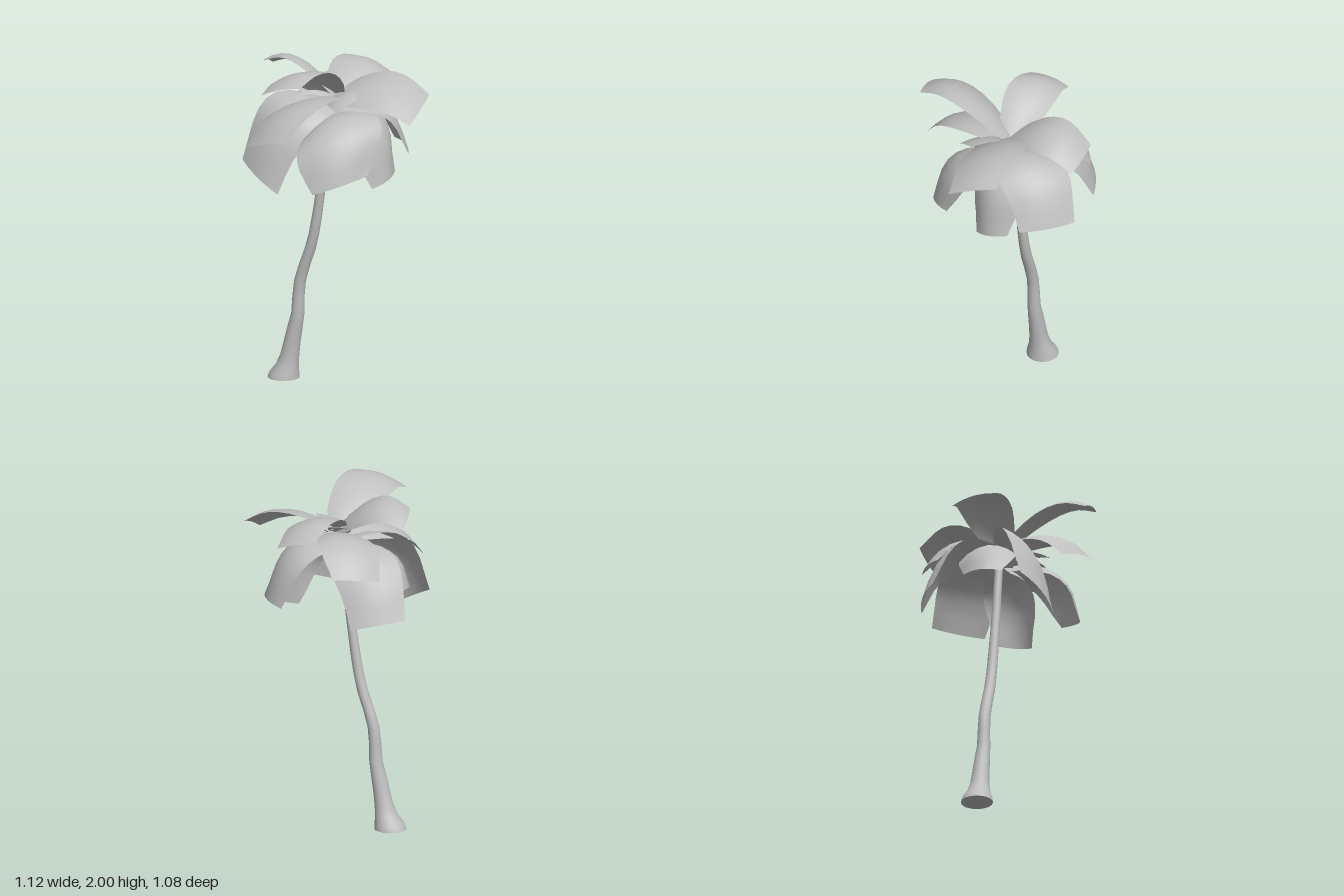
import * as THREE from 'three';
import { mergeVertices } from 'three/addons/utils/BufferGeometryUtils.js';

const grey = new THREE.MeshStandardMaterial({ color: 0xbfbfbf, side: THREE.DoubleSide });
grey.name = 'plain grey';

const CROWN = { x: 0, z: -0.04 };

// Bent trunk: rings of [height, centre x, radius], flared at the foot
function makeTrunk() {
  const rings = [
    [0, -0.355, 0.094], [0.03, -0.35, 0.088], [0.08, -0.33, 0.068], [0.14, -0.313, 0.056],
    [0.22, -0.297, 0.05], [0.32, -0.276, 0.045], [0.4, -0.258, 0.039], [0.5, -0.254, 0.036],
    [0.6, -0.243, 0.035], [0.7, -0.212, 0.034], [0.8, -0.174, 0.033], [0.9, -0.147, 0.031],
    [1.0, -0.128, 0.03], [1.2, -0.096, 0.027], [1.4, -0.067, 0.025], [1.6, -0.042, 0.024],
    [1.72, -0.025, 0.02], [1.75, -0.02, 0],
  ];
  let geo = new THREE.LatheGeometry(rings.map(([y, , r]) => new THREE.Vector2(r, y)), 16);
  const pos = geo.attributes.position;
  for (let i = 0; i < pos.count; i++) {
    pos.setX(i, pos.getX(i) + rings[i % rings.length][1]);
    pos.setZ(i, pos.getZ(i) - 0.045);
  }
  geo.deleteAttribute('uv');
  geo.deleteAttribute('normal');
  geo = mergeVertices(geo, 1e-5);
  geo.computeVertexNormals();
  const trunk = new THREE.Mesh(geo, grey);
  trunk.name = 'trunk';

  const base = new THREE.Mesh(new THREE.CircleGeometry(0.094, 16), grey);
  base.rotation.x = Math.PI / 2;
  base.position.set(-0.355, 0, -0.045);
  base.name = 'trunkBase';
  return [trunk, base];
}

// Broad arched frond from the crown to a tip edge a-b.
// reach and peak place the bend; cup bows the cross-section;
// widths scale the tip edge along the frond.
function makeFrond({ name, a, b, root, peak, reach, cup, widths }) {
  const A = new THREE.Vector3(...a), B = new THREE.Vector3(...b);
  const tip = A.clone().add(B).multiplyScalar(0.5);
  const start = new THREE.Vector3(CROWN.x, root, CROWN.z);
  const bend = start.clone().lerp(tip, reach).setY(peak);
  const curve = new THREE.QuadraticBezierCurve3(start, bend, tip);
  const half = B.clone().sub(A).multiplyScalar(0.5);
  const rows = widths.length - 1, cols = 6, verts = [], index = [];
  for (let i = 0; i <= rows; i++) {
    const t = i / rows;
    const p = curve.getPoint(t), tangent = curve.getTangent(t);
    const side = half.clone().multiplyScalar(widths[i]);
    const normal = new THREE.Vector3().crossVectors(tangent, half).normalize();
    for (let j = 0; j <= cols; j++) {
      const s = (j / cols) * 2 - 1;
      const v = p.clone().addScaledVector(side, s)
        .addScaledVector(normal, cup * widths[i] * (t < 1 ? 0.6 - s * s : 0.7 - 0.7 * s * s));
      verts.push(v.x, v.y, v.z);
      if (i < rows && j < cols) {
        const k = i * (cols + 1) + j, n = k + cols + 1;
        index.push(k, n, k + 1, n, n + 1, k + 1);
      }
    }
  }
  const geo = new THREE.BufferGeometry();
  geo.setAttribute('position', new THREE.Float32BufferAttribute(verts, 3));
  geo.setIndex(index);
  geo.computeVertexNormals();
  const mesh = new THREE.Mesh(geo, grey);
  mesh.name = name;
  return mesh;
}

// Shared shape of each tier of fronds
const broad = [0.5, 0.88, 1.08, 1.2, 1.23, 1.2, 1.13, 1.06, 1];
const domed = [0.5, 0.9, 1.2, 1.4, 1.52, 1.54, 1.45, 1.25, 1];
const tiers = {
  upper: { root: 1.76, reach: 0.62, cup: 0.025, widths: broad },
  middle: { root: 1.74, reach: 0.75, cup: 0.03, widths: broad },
  lower: { root: 1.63, reach: 0.85, cup: 0.05, widths: domed },
  outer: { root: 1.68, reach: 0.78, cup: 0.04, widths: broad },
  bud: { root: 1.74, reach: 0.5, cup: 0.01, widths: broad },
};

// [tier, name, bend height, tip corner a, tip corner b]
const fronds = [
  // upper tier, raised then arching over
  ['upper', 'frontUpperFrond', 2.08, [-0.14, 1.88, 0.545], [0.105, 1.95, 0.51]],
  ['upper', 'leftUpperFrond', 1.92, [0.565, 1.68, 0.045], [0.515, 1.79, -0.25]],
  ['upper', 'backUpperFrond', 2.0, [0.13, 1.76, -0.525], [-0.11, 1.82, -0.515]],
  ['upper', 'rightUpperFrond', 2.04, [-0.49, 1.86, -0.14], [-0.42, 1.93, 0.07]],
  // middle tier
  ['middle', 'frontMiddleFrond', 1.82, [-0.29, 1.52, 0.47], [0.02, 1.61, 0.52]],
  ['middle', 'backRightMiddleFrond', 1.82, [-0.2, 1.6, -0.46], [-0.41, 1.57, -0.27]],
  // lower tier, drooping
  ['outer', 'frontRightLowerFrond', 1.8, [-0.44, 1.38, 0.27], [-0.15, 1.23, 0.35]],
  ['lower', 'frontLeftLowerFrond', 1.72, [0.12, 1.28, 0.4], [0.36, 1.38, 0.18]],
  ['lower', 'leftLowerFrond', 1.72, [0.29, 1.25, 0.02], [0.31, 1.31, -0.2]],
  ['outer', 'backLeftLowerFrond', 1.8, [0.34, 1.39, -0.3], [0.1, 1.4, -0.53]],
  ['outer', 'backRightLowerFrond', 1.78, [-0.3, 1.3, -0.42], [-0.56, 1.35, -0.235]],
  ['lower', 'rightLowerFrond', 1.72, [-0.4, 1.45, -0.11], [-0.39, 1.44, 0.12]],
  // short young leaves round the heart
  ['bud', 'youngLeafBack', 1.82, [-0.09, 1.85, -0.26], [-0.18, 1.83, -0.2]],
  ['bud', 'youngLeafFront', 1.82, [0.16, 1.73, 0.21], [0.23, 1.79, 0.09]],
  ['bud', 'youngLeafRight', 1.82, [-0.18, 1.8, 0.06], [-0.13, 1.78, 0.12]],
  ['bud', 'youngLeafLeft', 1.84, [0.17, 1.82, -0.12], [0.14, 1.82, -0.22]],
];

export function createModel() {
  const model = new THREE.Group();
  model.name = 'palmTree';
  model.add(...makeTrunk());
  const crown = new THREE.Group();
  crown.name = 'crown';
  for (const [tier, name, peak, a, b] of fronds) {
    crown.add(makeFrond({ ...tiers[tier], name, peak, a, b }));
  }
  model.add(crown);
  return model;
}
